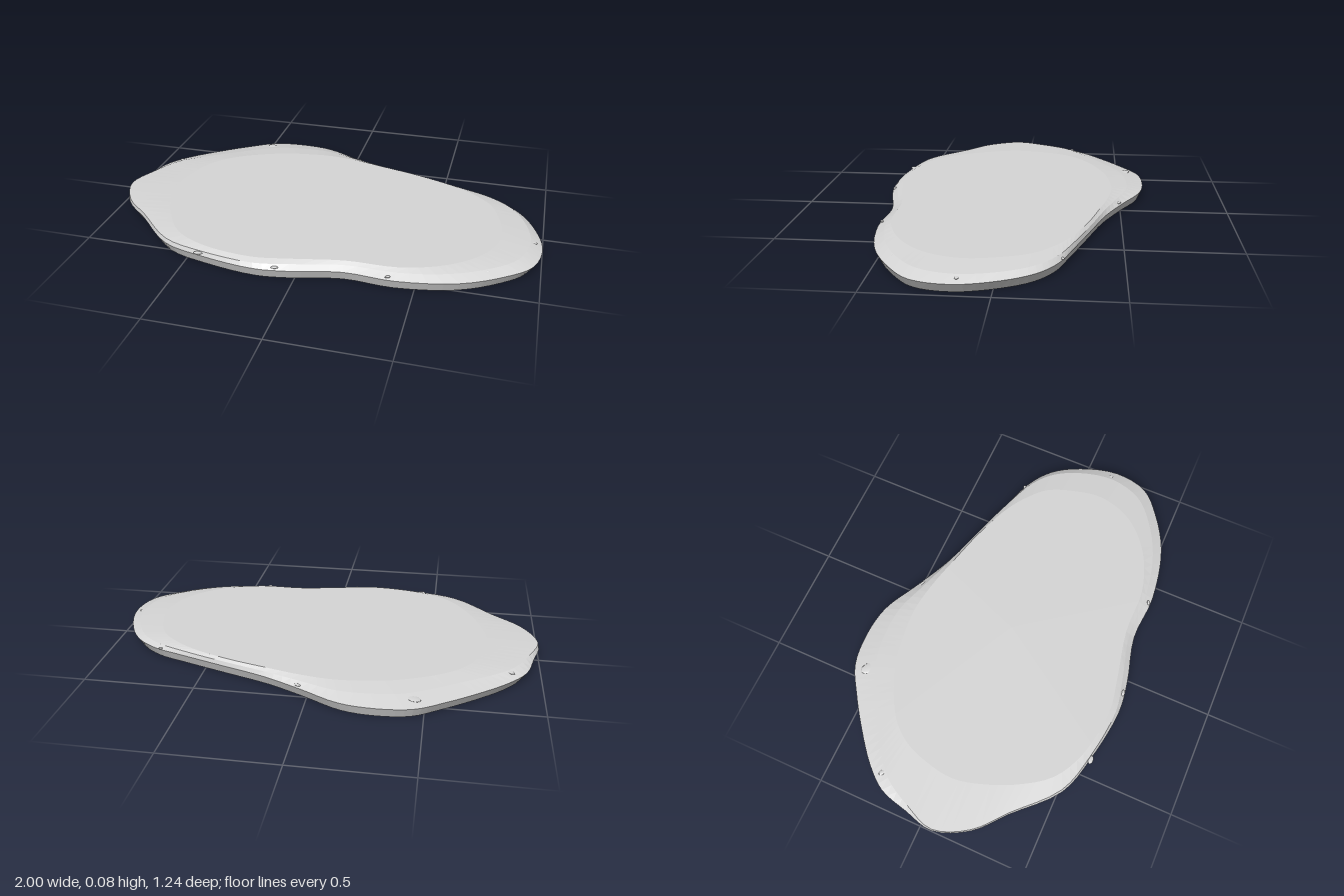
import * as THREE from 'three';

// Outline control points: rim x, rim z, plateau x, plateau z, shoulder position (0 = rim, 1 = plateau)
const OUTLINE = [
  [-1.0, 0.06, -0.76, 0.05, 0.02], [-0.97, -0.08, -0.74, -0.09, 0.1],
  [-0.93, -0.22, -0.70, -0.20, 0.25], [-0.85, -0.32, -0.64, -0.28, 0.4],
  [-0.72, -0.43, -0.56, -0.34, 0.5], [-0.58, -0.53, -0.46, -0.39, 0.5],
  [-0.46, -0.60, -0.35, -0.43, 0.5], [-0.31, -0.62, -0.24, -0.45, 0.5],
  [-0.15, -0.60, -0.11, -0.46, 0.5], [0.03, -0.51, 0.04, -0.44, 0.5],
  [0.20, -0.43, 0.20, -0.40, 0.4], [0.41, -0.36, 0.38, -0.35, 0.3],
  [0.62, -0.29, 0.56, -0.28, 0.25], [0.76, -0.24, 0.67, -0.21, 0.25],
  [0.87, -0.16, 0.75, -0.13, 0.25], [0.95, -0.03, 0.80, 0.0, 0.25],
  [0.998, 0.15, 0.82, 0.13, 0.3], [0.965, 0.31, 0.78, 0.27, 0.35],
  [0.86, 0.41, 0.70, 0.37, 0.4], [0.68, 0.51, 0.58, 0.45, 0.5],
  [0.42, 0.56, 0.42, 0.50, 0.6], [0.20, 0.55, 0.20, 0.505, 0.6],
  [-0.02, 0.60, -0.03, 0.55, 0.5], [-0.17, 0.617, -0.19, 0.575, 0.35],
  [-0.42, 0.58, -0.42, 0.54, 0.2], [-0.61, 0.52, -0.57, 0.46, 0.1],
  [-0.80, 0.34, -0.67, 0.32, 0.04], [-0.93, 0.22, -0.73, 0.18, 0.02],
];
const SAMPLES = 112;

const loop = (toPoint) =>
  new THREE.CatmullRomCurve3(OUTLINE.map(toPoint), true).getPoints(SAMPLES).slice(0, SAMPLES);

// Open-bottomed shell: undercut wall, sloping edge and flat top
function shellGeometry() {
  const n = OUTLINE.length;
  const base = loop(([x, z], i) => {
    const a = OUTLINE[(i + n - 1) % n], b = OUTLINE[(i + 1) % n];
    const inward = new THREE.Vector2(a[1] - b[1], b[0] - a[0]).normalize();
    return new THREE.Vector3(x + inward.x * 0.033, 0, z + inward.y * 0.018);
  });
  const rim = loop(([x, z]) => new THREE.Vector3(x, 0.045, z));
  const shoulder = loop(([x, z, px, pz, f]) =>
    new THREE.Vector3(x + (px - x) * f, 0.064, z + (pz - z) * f));
  const plateau = loop(([, , px, pz]) => new THREE.Vector3(px, 0.075, pz));

  const rings = [base, rim, shoulder, plateau];
  const positions = [];
  const index = [];
  rings.forEach((ring) => ring.forEach((p) => positions.push(p.x, p.y, p.z)));
  const topCentre = rings.length * SAMPLES;
  positions.push(0, 0.075, 0);

  const last = (rings.length - 1) * SAMPLES;
  for (let i = 0; i < SAMPLES; i++) {
    const j = (i + 1) % SAMPLES;
    for (let r = 0; r < last; r += SAMPLES) {
      index.push(r + i, r + SAMPLES + i, r + j);
      index.push(r + j, r + SAMPLES + i, r + SAMPLES + j);
    }
    index.push(topCentre, last + j, last + i);
  }
  const geometry = new THREE.BufferGeometry();
  geometry.setAttribute('position', new THREE.Float32BufferAttribute(positions, 3));
  geometry.setIndex(index);
  const faceted = geometry.toNonIndexed();
  faceted.computeVertexNormals();
  return faceted;
}

export function createModel() {
  const stone = new THREE.MeshStandardMaterial({ color: 0xd6d6d6, side: THREE.DoubleSide });
  stone.name = 'stone grey';

  const group = new THREE.Group();
  group.name = 'steppingStone';

  const shell = new THREE.Mesh(shellGeometry(), stone);
  shell.name = 'stoneShell';
  group.add(shell);

  // Small flat flakes around the edge: x, y, z, radius
  const flakes = [
    [-0.45, 0.056, -0.53, 0.04], [-0.86, 0.058, -0.25, 0.018], [0.04, 0.052, -0.49, 0.016],
    [0.96, 0.056, 0.13, 0.014], [0.78, 0.058, 0.41, 0.012], [-0.43, 0.058, 0.58, 0.02],
    [-0.08, 0.055, 0.6, 0.016], [0.73, 0.05, -0.25, 0.012], [0.39, 0.055, 0.55, 0.012],
  ];
  const flakeShape = new THREE.SphereGeometry(1, 16, 8);
  flakes.forEach(([x, y, z, r], i) => {
    const flake = new THREE.Mesh(flakeShape, stone);
    flake.name = `flake${i + 1}`;
    flake.position.set(x, y, z);
    flake.scale.set(r, 0.004, r * 0.6);
    flake.rotation.y = -0.7 + i * 0.15;
    group.add(flake);
  });
  return group;
}
